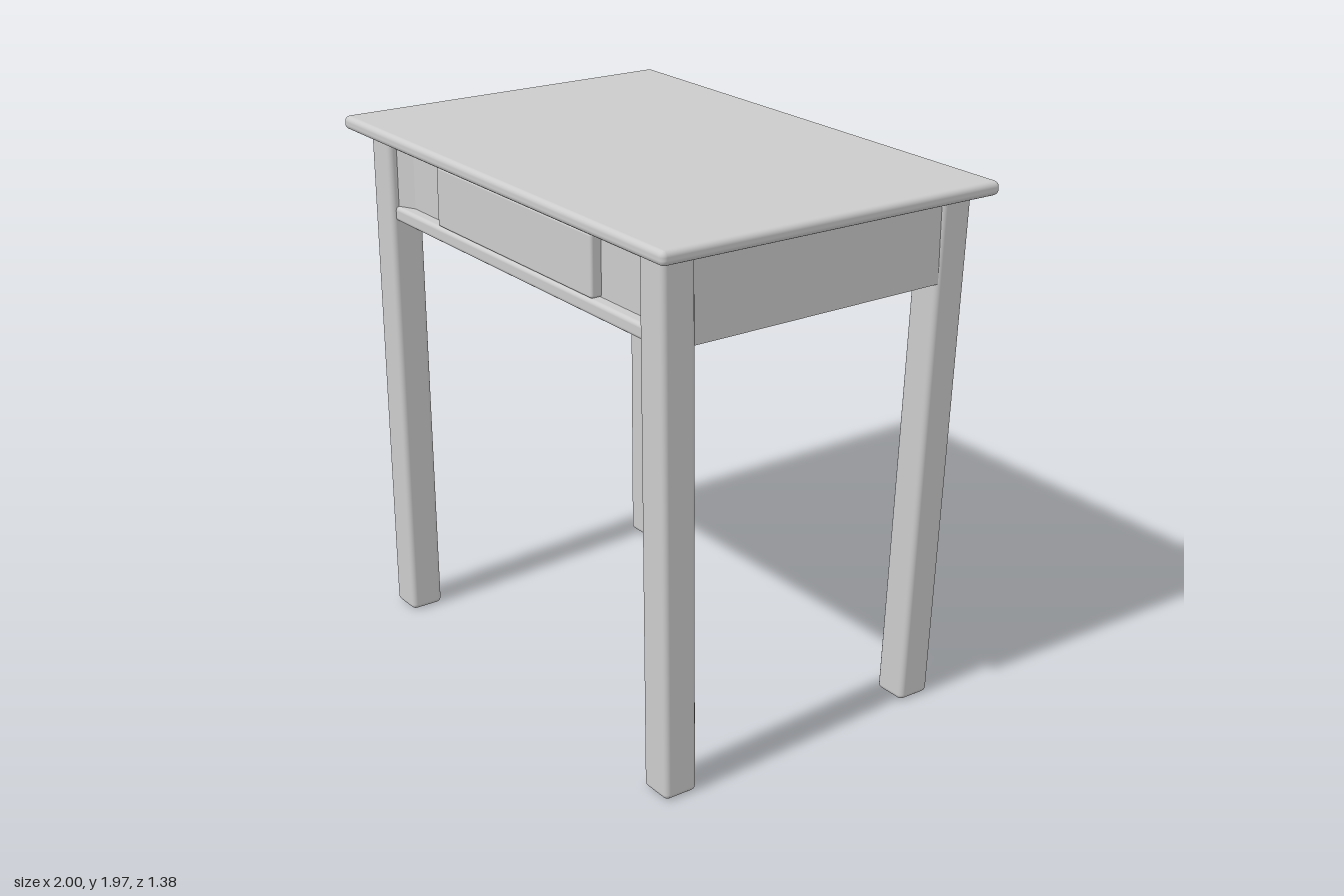
import * as THREE from 'three';
import { RoundedBoxGeometry } from 'three/addons/geometries/RoundedBoxGeometry.js';

const material = new THREE.MeshStandardMaterial({ color: 0xcccccc });

export function createModel() {
  const group = new THREE.Group();
  group.name = 'deskWithDrawer';

  const add = (name, geometry) => {
    const mesh = new THREE.Mesh(geometry, material);
    mesh.name = name;
    group.add(mesh);
    return mesh;
  };

  // Box given by its low and high corners, with optional rounded edges
  const block = (name, [x0, y0, z0], [x1, y1, z1], radius = 0) => {
    const size = [x1 - x0, y1 - y0, z1 - z0];
    const geometry = radius
      ? new RoundedBoxGeometry(...size, 3, radius)
      : new THREE.BoxGeometry(...size);
    geometry.translate((x0 + x1) / 2, (y0 + y1) / 2, (z0 + z1) / 2);
    return add(name, geometry);
  };

  // Leg that runs straight from its top centre to its foot centre
  const leg = (name, [topX, topZ], [footX, footZ]) => {
    const height = 1.91;
    const geometry = new RoundedBoxGeometry(0.13, height, 0.13, 3, 0.02);
    geometry.translate(0, height / 2, 0);
    const p = geometry.attributes.position;
    for (let i = 0; i < p.count; i++) {
      const t = Math.min(p.getY(i) / 1.6, 1);
      p.setX(i, p.getX(i) + THREE.MathUtils.lerp(footX, topX, t));
      p.setZ(i, p.getZ(i) + THREE.MathUtils.lerp(footZ, topZ, t));
    }
    geometry.computeBoundingSphere();
    add(name, geometry);
  };

  // Table top, its front edge a little higher than its back edge
  const top = block('tableTop', [-1, -0.025, -0.69], [1, 0.025, 0.69], 0.02);
  top.position.y = 1.935;
  top.rotation.x = -0.008;

  // Legs: the back left one leans inward at the foot
  leg('frontRightLeg', [-0.85, 0.56], [-0.85, 0.545]);
  leg('frontLeftLeg', [0.845, 0.56], [0.85, 0.545]);
  leg('backRightLeg', [-0.85, -0.585], [-0.85, -0.59]);
  leg('backLeftLeg', [0.845, -0.585], [0.8, -0.54]);

  // Side and back aprons
  for (const side of [-1, 1]) {
    const x = side * 0.875;
    block('sideApron', [x - 0.025, 1.6, -0.58], [x + 0.025, 1.92, 0.56]);
  }
  block('backApron', [-0.85, 1.6, -0.635], [0.85, 1.92, -0.585]);

  // Front frame: rails above and below, recessed panels beside the drawer
  block('frontLowerRail', [-0.82, 1.6, 0.5], [0.82, 1.655, 0.605], 0.015);
  block('frontUpperRail', [-0.82, 1.875, 0.5], [0.82, 1.92, 0.605]);
  for (const side of [-1, 1]) {
    const x = side * 0.66;
    block('frontPanel', [x - 0.18, 1.63, 0.52], [x + 0.18, 1.9, 0.56]);

    // Sloped filler between panel and leg
    const filler = new THREE.Shape([
      new THREE.Vector2(0.68, 0.54),
      new THREE.Vector2(0.8, 0.54),
      new THREE.Vector2(0.8, 0.6),
    ].map((v) => v.setX(v.x * side)));
    const geometry = new THREE.ExtrudeGeometry(filler, { depth: 0.28, bevelEnabled: false });
    geometry.rotateX(Math.PI / 2).translate(0, 1.9, 0);
    add('cornerFiller', geometry);
  }

  // Drawer: front, sides, back and bottom
  block('drawerFront', [-0.49, 1.655, 0.55], [0.485, 1.875, 0.6], 0.01);
  for (const x of [-0.46, 0.46]) {
    block('drawerSide', [x - 0.015, 1.625, -0.52], [x + 0.015, 1.84, 0.55]);
  }
  block('drawerBack', [-0.46, 1.625, -0.535], [0.46, 1.84, -0.505]);
  block('drawerBottom', [-0.46, 1.625, -0.52], [0.46, 1.645, 0.55]);

  // Runners that carry the drawer from the front rail to the back apron
  for (const x of [-0.53, 0.53]) {
    block('drawerRunner', [x - 0.05, 1.605, -0.6], [x + 0.05, 1.645, 0.54]);
  }

  return group;
}
